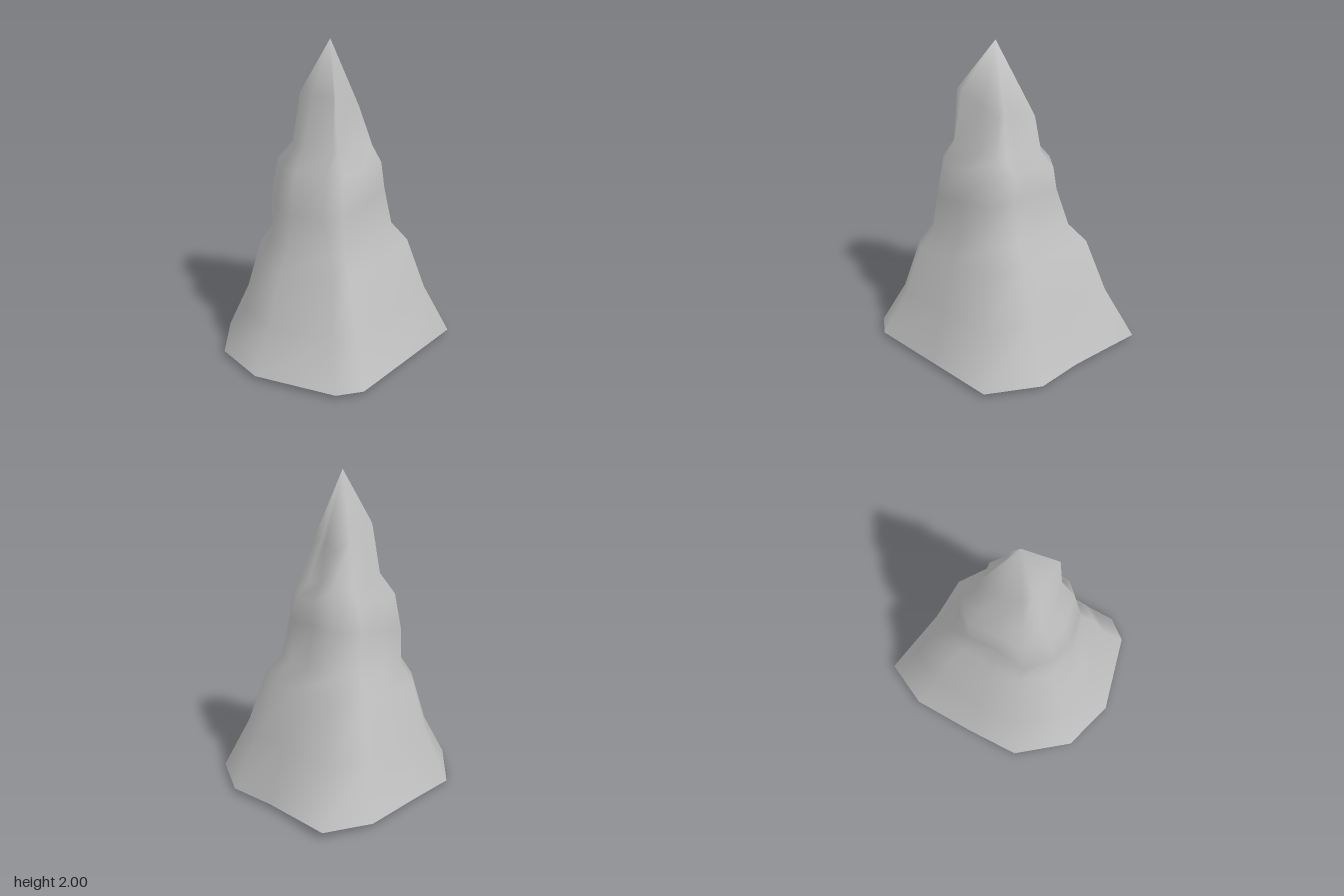
import * as THREE from 'three';

// Cross-sections as [x, z], twelve corners each, starting at +x and turning towards +z
const foot = [[.68, 0], [.68, .315], [.48, .625], [0, .625], [-.465, .625], [-.605, .52],
  [-.745, 0], [-.65, -.355], [-.335, -.61], [.03, -.63], [.45, -.63], [.745, -.495]];
const shoulder = [[.255, .01], [.27, .14], [.17, .27], [-.03, .28], [-.22, .275], [-.3, .2],
  [-.34, 0], [-.31, -.13], [-.19, -.27], [0, -.255], [.17, -.275], [.305, -.16]];
const neck = [[.18, .02], [.18, .12], [.17, .2], [0, .18], [-.19, .21], [-.21, .19],
  [-.26, 0], [-.22, -.09], [-.15, -.18], [0, -.19], [.13, -.2], [.24, -.12]];
const peak = [[.12, .03], [.11, .07], [.12, .13], [0, .15], [-.16, .165], [-.19, .175],
  [-.17, 0], [-.16, -.09], [-.12, -.14], [0, -.145], [.1, -.15], [.19, -.11]];

// Ledges from foot to peak: height, outline, scale, x shift, sideways tilt
const ledges = [
  [.025, foot, 1, 0, 0],
  [.33, foot, .79, -.01, .06],
  [.665, foot, .645, -.02, .09],
  [.785, foot, .52, -.03, .08],
  [1.03, shoulder, 1.1, -.015, .15],
  [1.23, shoulder, 1, 0, -.02],
  [1.34, neck, 1, 0, -.12],
  [1.62, peak, 1, 0, -.4],
];
const APEX = [-.02, 2, .015];

export function createModel() {
  const group = new THREE.Group();
  const stone = new THREE.MeshStandardMaterial({ color: 0xc0c0c0, side: THREE.DoubleSide });
  stone.name = 'grey stone';

  const positions = [];
  const index = [];
  const n = foot.length;

  ledges.forEach(([height, outline, scale, shift, tilt], r) => {
    outline.forEach(([x, z], j) => {
      // The foot dips at the back left and lifts at the back right corner
      const uneven = r === 0 ? (j === 8 ? -.025 : j === 11 ? .015 : 0) : 0;
      positions.push(x * scale + shift, height + tilt * x * scale + uneven, z * scale);
    });
  });
  positions.push(...APEX);

  // Walls between ledges, then the fan closing the tip; the foot stays open
  for (let r = 0; r < ledges.length; r++) {
    for (let j = 0; j < n; j++) {
      const a = r * n + j;
      const b = r * n + (j + 1) % n;
      if (r === ledges.length - 1) index.push(a, ledges.length * n, b);
      else index.push(a, a + n, b, b, a + n, b + n);
    }
  }

  const geometry = new THREE.BufferGeometry();
  geometry.setAttribute('position', new THREE.Float32BufferAttribute(positions, 3));
  geometry.setIndex(index);
  geometry.computeVertexNormals();

  const spire = new THREE.Mesh(geometry, stone);
  spire.name = 'rockSpire';
  group.add(spire);
  return group;
}
